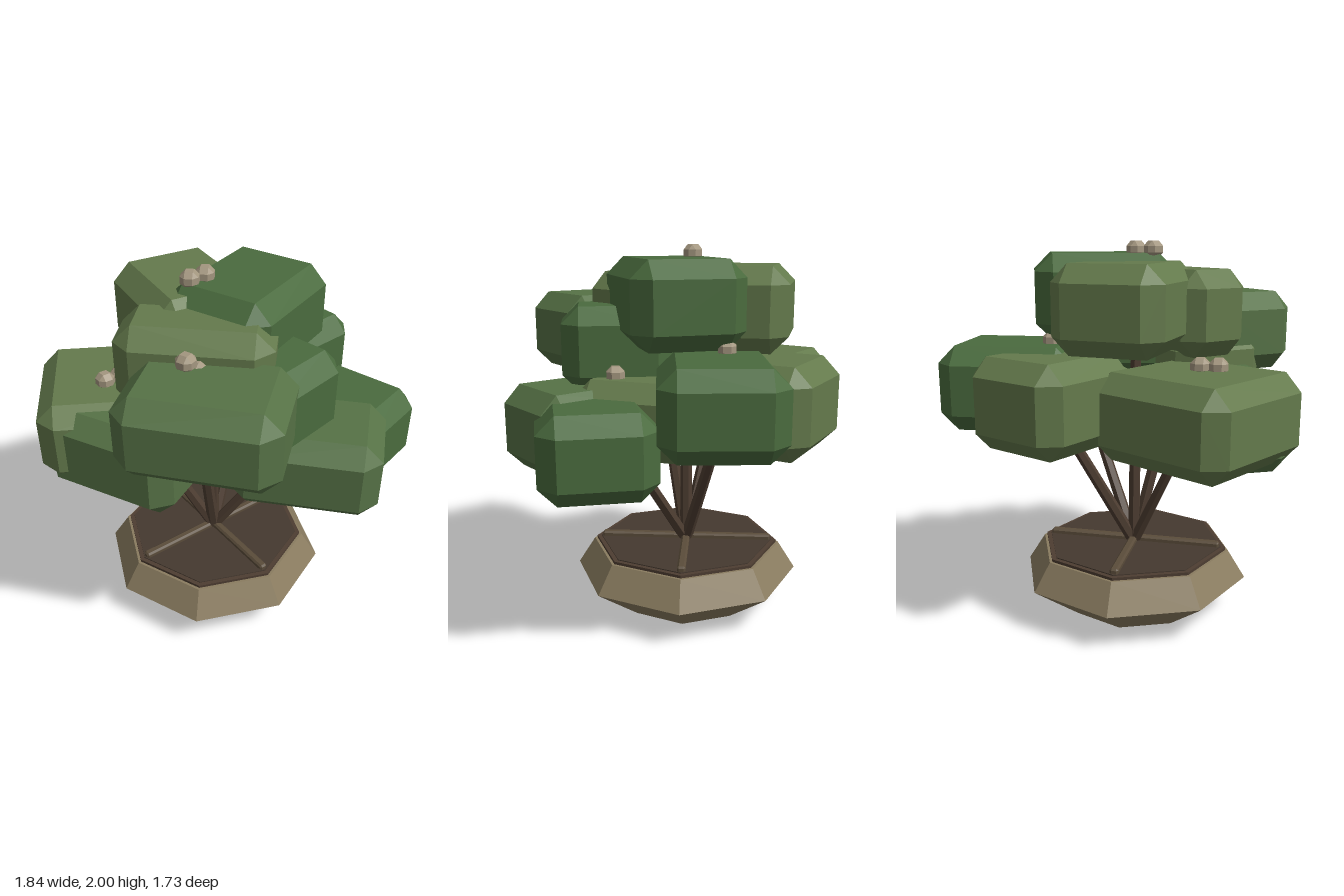
import * as THREE from 'three';
import { ConvexGeometry } from 'three/addons/geometries/ConvexGeometry.js';

const mat = (color) => new THREE.MeshStandardMaterial({ color, flatShading: true, roughness: 0.9 });
const DARK = mat(0x4a6b3e), MID = mat(0x567246), OLIVE = mat(0x647a4c);
const CLAY = mat(0x8a7c60), SOIL = mat(0x45392f), BARK = mat(0x4d3d31), ROOT = mat(0x5a4c3a), STONE = mat(0xa3967f);
const CX = -0.05, CZ = -0.04; // axis of the pot

// Box with every edge and corner cut flat by c
function chamferBox(w, h, d, c) {
  const pts = [];
  for (const x of [-1, 1]) for (const y of [-1, 1]) for (const z of [-1, 1]) {
    for (let full = 0; full < 3; full++) {
      pts.push(new THREE.Vector3(
        x * (w / 2 - (full === 0 ? 0 : c)),
        y * (h / 2 - (full === 1 ? 0 : c)),
        z * (d / 2 - (full === 2 ? 0 : c))));
    }
  }
  return new ConvexGeometry(pts);
}

export function createModel() {
  const model = new THREE.Group();
  model.name = 'bonsaiTree';
  const add = (parent, name, geometry, material, x, y, z, yaw = 0) => {
    const mesh = new THREE.Mesh(geometry, material);
    mesh.name = name;
    mesh.position.set(x, y, z);
    mesh.rotation.y = THREE.MathUtils.degToRad(yaw);
    parent.add(mesh);
    return mesh;
  };
  const group = (name) => {
    const g = new THREE.Group();
    g.name = name;
    model.add(g);
    return g;
  };

  // Eight-sided pot with soil
  const profile = [[0, 0], [0.365, 0], [0.625, 0.19], [0.53, 0.34], [0, 0.34]]
    .map(([r, y]) => new THREE.Vector2(r, y));
  add(model, 'pot', new THREE.LatheGeometry(profile, 8), CLAY, CX, 0, CZ);
  add(model, 'soilEdge', new THREE.CylinderGeometry(0.515, 0.515, 0.02, 8), BARK, CX, 0.345, CZ);
  add(model, 'soil', new THREE.CylinderGeometry(0.49, 0.49, 0.03, 8), SOIL, CX, 0.345, CZ);

  // Crossed surface roots
  for (const yaw of [0, 90]) {
    add(model, 'root', chamferBox(0.96, 0.04, 0.045, 0.01), ROOT, CX, 0.367, CZ, yaw);
  }

  // Trunks fan out from the middle of the soil
  const trunks = group('trunks');
  const up = new THREE.Vector3(0, 1, 0);
  const base = new THREE.Vector3(CX, 0.35, CZ);
  for (const [x, y, z] of [
    [-0.39, 1.08, -0.2], [-0.28, 1.38, 0.14], [-0.06, 1.55, -0.04], [0.3, 1.05, -0.22], [0.3, 1.05, 0.3],
  ]) {
    const dir = new THREE.Vector3(x, y, z).sub(base);
    const length = dir.length();
    const mid = base.clone().addScaledVector(dir, 0.5);
    const trunk = add(trunks, 'trunk', new THREE.CylinderGeometry(0.028, 0.034, length, 6), BARK, mid.x, mid.y, mid.z);
    trunk.quaternion.setFromUnitVectors(up, dir.normalize());
  }

  // Foliage blocks: x, z, width, depth, bottom, top, yaw, tint
  const foliage = group('foliage');
  for (const [x, z, w, d, y0, y1, yaw, tint] of [
    [0.135, 0.015, 0.72, 0.585, 1.5, 1.94, 20, DARK],
    [-0.055, -0.255, 0.58, 0.69, 1.46, 1.9, -8, OLIVE],
    [-0.255, 0.125, 0.76, 0.4, 1.42, 1.86, -44, OLIVE],
    [-0.42, 0.43, 0.57, 0.77, 1.31, 1.73, 40, MID],
    [-0.05, 0.34, 0.66, 0.58, 1.26, 1.7, 10, DARK],
    [-0.37, 0.2, 0.52, 0.52, 1.225, 1.53, 40, OLIVE],
    [0.54, -0.23, 0.7, 0.6, 1.055, 1.49, 5, DARK],
    [0.28, -0.445, 0.59, 0.65, 1.0, 1.46, -25, OLIVE],
    [-0.44, -0.38, 0.8, 0.75, 0.95, 1.39, -30, OLIVE],
    [-0.48, -0.145, 0.64, 0.74, 0.89, 1.36, 26, MID],
    [0.22, 0.16, 0.55, 0.62, 0.95, 1.35, -15, OLIVE],
    [0.195, 0.465, 0.56, 0.76, 0.87, 1.305, 42, MID],
    [0.545, 0.37, 0.62, 0.57, 0.84, 1.27, 14, DARK],
  ]) {
    add(foliage, 'foliageBlock', chamferBox(w, y1 - y0, d, 0.09), tint, x, (y0 + y1) / 2, z, yaw);
  }

  // Small buds resting on the foliage
  const buds = group('buds');
  const budShape = chamferBox(0.092, 0.085, 0.092, 0.026);
  for (const [x, top, z, yaw] of [
    [-0.155, 2, -0.07, 45], [-0.065, 2, -0.07, 45], [-0.42, 1.795, 0.275, 20], [-0.365, 1.75, 0.285, 20],
    [0.295, 1.41, 0.3, 10], [-0.53, 1.45, -0.32, 0], [-0.44, 1.45, -0.32, 0], [0.33, 1.55, -0.26, 0],
  ]) {
    add(buds, 'bud', budShape, STONE, x, top - 0.0425, z, yaw);
  }
  return model;
}
